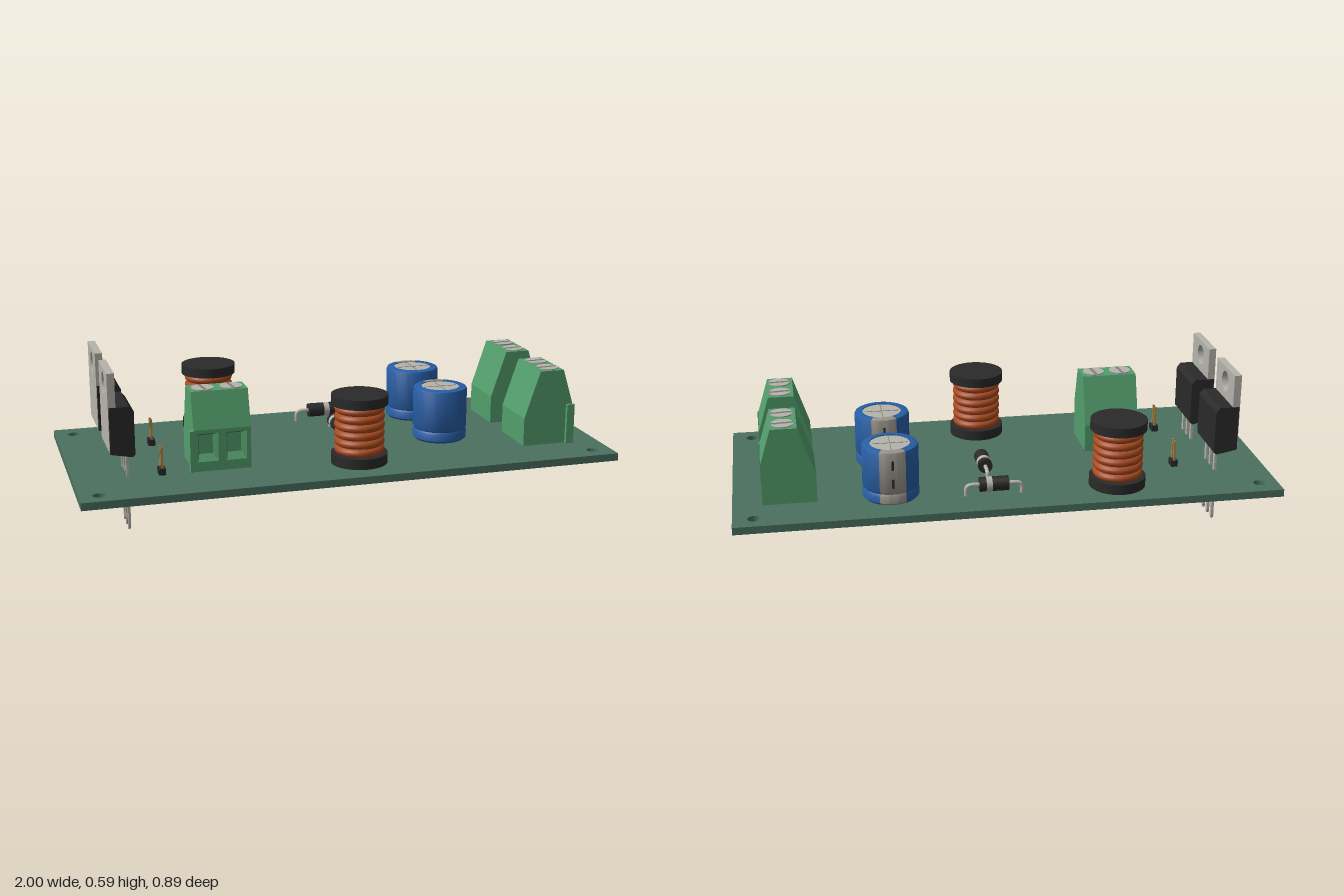
import * as THREE from 'three';
import { toCreasedNormals } from 'three/addons/utils/BufferGeometryUtils.js';

const mat = (color) => new THREE.MeshStandardMaterial({ color, side: THREE.DoubleSide });
const M = {
  board: mat(0x4a7060), green: mat(0x539e6c), pocket: mat(0x47875c), black: mat(0x2a2a2a), copper: mat(0xa84a20),
  metal: mat(0xb6b4ac), slot: mat(0x85847f), blue: mat(0x285fa6), stripe: mat(0x98948c), gold: mat(0xb08a4a),
};
const BOARD_TOP = 0.202;

function add(parent, name, geometry, material, x = 0, y = 0, z = 0) {
  const mesh = new THREE.Mesh(geometry, material);
  mesh.name = name;
  mesh.position.set(x, y, z);
  parent.add(mesh);
  return mesh;
}
function group(parent, name, x, z, turn = 0) {
  const g = new THREE.Group();
  g.name = name;
  g.position.set(x, 0, z);
  g.rotation.y = turn;
  parent.add(g);
  return g;
}
const box = (w, h, d) => new THREE.BoxGeometry(w, h, d);
const cyl = (r, h, n = 40) => new THREE.CylinderGeometry(r, r, h, n);
const polygon = (pts) => new THREE.Shape(pts.map(([x, y]) => new THREE.Vector2(x, y)));
const rect = (x0, y0, x1, y1) => polygon([[x0, y0], [x1, y0], [x1, y1], [x0, y1]]);
const extrude = (shape, depth) =>
  new THREE.ExtrudeGeometry(shape, { depth, bevelEnabled: false, curveSegments: 24 });
// Extrusion centred on z
const slab = (shape, depth) => extrude(shape, depth).translate(0, 0, -depth / 2);
// Extrusion turned so that the shape's x runs along -z and the depth along +x
const facingX = (shape, depth) => extrude(shape, depth).rotateY(Math.PI / 2);
function circleHole(x, y, r) {
  const p = new THREE.Path();
  p.absarc(x, y, r, 0, Math.PI * 2, true);
  return p;
}
function pin(parent, x, z, bottom, top, r = 0.01) {
  add(parent, 'pin', cyl(r, top - bottom, 16), M.metal, x, (top + bottom) / 2, z);
}

// Board with four mounting holes
function addBoard(root) {
  const s = rect(-1, -0.445, 1, 0.45);
  for (const [x, z] of [[-0.93, -0.375], [0.925, -0.385], [-0.93, 0.38], [0.925, 0.38]])
    s.holes.push(circleHole(x, -z, 0.022));
  add(root, 'board', extrude(s, 0.028).rotateX(-Math.PI / 2), M.board, 0, 0.174, 0);
}

// Two-way screw terminal, wire openings facing local +x
function addTerminal(root, x, z, turn) {
  const g = group(root, 'screwTerminal', x, z, turn);
  const width = 0.21, front = 0.086, wall = 0.045, ledge = 0.357;
  const profile = polygon([[-0.11, BOARD_TOP], [front - wall, BOARD_TOP], [front - wall, ledge],
    [front, ledge], [0.045, 0.49], [-0.05, 0.49], [-0.11, 0.31]]);
  add(g, 'terminalBody', slab(profile, width), M.green);
  const face = rect(-width / 2, BOARD_TOP, width / 2, ledge);
  for (const c of [-0.0525, 0.0525]) face.holes.push(rect(c - 0.037, 0.238, c + 0.037, 0.343));
  add(g, 'terminalFace', facingX(face, wall), M.green, front - wall, 0, 0);
  add(g, 'sideRib', box(0.03, 0.153, 0.014), M.green, 0.075, BOARD_TOP + 0.0765, width / 2 + 0.007);
  for (const c of [-0.0525, 0.0525]) {
    // Tapered opening: a four-sided funnel narrowing inwards
    const funnel = new THREE.CylinderGeometry(Math.SQRT1_2, Math.SQRT1_2 * 0.68, wall - 0.002, 4, 1, true)
      .toNonIndexed().rotateY(Math.PI / 4).rotateZ(-Math.PI / 2).scale(1, 0.105, 0.074);
    funnel.computeVertexNormals();
    add(g, 'wireOpening', funnel, M.pocket, front - wall / 2, 0.2905, c);
    // Screw: a disc with two raised segments leaving a slot
    add(g, 'screw', cyl(0.042, 0.008), M.slot, 0, 0.487, c);
    for (const side of [0, Math.PI]) {
      const seg = new THREE.Shape();
      seg.absarc(0, 0, 0.041, 0.18, Math.PI - 0.18, false);
      seg.closePath();
      add(g, 'screwHead', extrude(seg, 0.003).rotateX(-Math.PI / 2).rotateY(side + 0.1), M.metal, 0, 0.4905, c);
    }
    pin(g, 0, c, 0.135, 0.22);
  }
}

// Upright power transistor with a metal tab on its back (-x)
function addTransistor(root, z) {
  const g = group(root, 'powerTransistor', 0, z);
  const profile = polygon([[-0.868, 0.3], [-0.79, 0.285], [-0.78, 0.293], [-0.78, 0.452],
    [-0.795, 0.47], [-0.868, 0.47]]);
  add(g, 'transistorBody', slab(profile, 0.212), M.black);
  const tab = rect(-0.105, 0.305, 0.105, 0.593);
  tab.holes.push(circleHole(0, 0.536, 0.039));
  add(g, 'metalTab', facingX(tab, 0.027), M.metal, -0.87, 0, 0);
  for (const dz of [-0.0525, 0, 0.0525]) {
    const leg = polygon([[-0.009, 0.3], [-0.009, 0.015], [-0.003, 0], [0.003, 0], [0.009, 0.015], [0.009, 0.3]]);
    add(g, 'transistorLeg', facingX(leg, 0.009), M.metal, -0.808, 0, dz);
  }
}

// Inductor: two flanges and a wound core
function addInductor(root, x, z) {
  const g = group(root, 'inductor', x, z);
  add(g, 'lowerFlange', cyl(0.104, 0.038, 48), M.black, 0, 0.229, 0);
  add(g, 'upperFlange', cyl(0.104, 0.036, 48), M.black, 0, 0.449, 0);
  add(g, 'woundCore', cyl(0.078, 0.19), M.copper, 0, 0.34, 0);
  for (let i = 0; i < 6; i++) {
    const turn = new THREE.TorusGeometry(0.077, 0.0155, 12, 48).rotateX(Math.PI / 2);
    add(g, 'wireTurn', turn, M.copper, 0, 0.2635 + i * 0.0305, 0);
  }
  for (const s of [-1, 1]) pin(g, s * 0.048, 0, 0.142, 0.22);
}

// Can capacitor with a stripe on its -z side
function addCapacitor(root, x, z) {
  const g = group(root, 'capacitor', x, z);
  const pts = [[0, 0.205], [0.095, 0.205], [0.103, 0.213], [0.103, 0.238], [0.098, 0.247], [0.103, 0.256],
    [0.103, 0.4], [0.1, 0.407], [0.093, 0.41], [0.073, 0.41], [0.073, 0.404]]
    .map(([r, y]) => new THREE.Vector2(r, y));
  const half = 0.48;
  const sleeve = (start, length, n) => toCreasedNormals(new THREE.LatheGeometry(pts, n, start, length), 0.7);
  add(g, 'sleeve', sleeve(Math.PI + half, Math.PI * 2 - half * 2, 44), M.blue);
  add(g, 'stripe', sleeve(Math.PI - half, half * 2, 10), M.stripe);
  add(g, 'topDisc', cyl(0.074, 0.01), M.metal, 0, 0.402, 0);
  for (const turn of [0, Math.PI / 2])
    add(g, 'ventLine', box(0.13, 0.002, 0.003).rotateY(turn), M.slot, 0, 0.4072, 0);
  for (const y of [0.29, 0.36]) add(g, 'stripeMark', box(0.008, 0.035, 0.003), M.black, 0, y, -0.1025);
  for (const s of [-1, 1]) pin(g, 0, s * 0.052, 0.153, 0.22, 0.008);
}

// Axial diode lying along local x, band near its +x end
function addDiode(root, x, z, turn) {
  const g = group(root, 'diode', x, z, turn);
  const y = 0.243;
  add(g, 'diodeBody', cyl(0.027, 0.107, 32).rotateZ(Math.PI / 2), M.black, 0, y, 0);
  add(g, 'band', cyl(0.0275, 0.022, 32).rotateZ(Math.PI / 2), M.metal, 0.019, y, 0);
  for (const s of [-1, 1]) {
    const path = new THREE.CatmullRomCurve3([[0.05, y], [0.085, y], [0.098, y - 0.005], [0.103, y - 0.018],
      [0.103, 0.2], [0.103, 0.157]].map(([px, py]) => new THREE.Vector3(s * px, py, 0)));
    add(g, 'diodeLead', new THREE.TubeGeometry(path, 32, 0.0075, 10), M.metal);
    add(g, 'leadEnd', cyl(0.0075, 0.002, 10), M.metal, s * 0.103, 0.157, 0);
  }
}

// Tiny two-pin header
function addHeader(root, x, z) {
  const g = group(root, 'pinHeader', x, z);
  add(g, 'headerBase', box(0.025, 0.024, 0.042), M.black, 0, 0.214, 0);
  for (const s of [-1, 1]) add(g, 'headerPin', box(0.008, 0.157, 0.008), M.gold, 0, 0.2265, s * 0.0125);
}

export function createModel() {
  const root = new THREE.Group();
  root.name = 'circuitBoard';
  addBoard(root);
  addTerminal(root, 0.806, -0.173, 0);
  addTerminal(root, 0.806, 0.155, 0);
  addTerminal(root, -0.462, 0.137, -Math.PI / 2);
  addTransistor(root, -0.173);
  addTransistor(root, 0.138);
  addInductor(root, -0.402, -0.313);
  addInductor(root, 0.032, 0.289);
  addCapacitor(root, 0.429, -0.263);
  addCapacitor(root, 0.429, 0.06);
  addDiode(root, 0.058, -0.313, 0);
  addDiode(root, 0.064, -0.099, Math.PI / 2);
  addHeader(root, -0.661, -0.157);
  addHeader(root, -0.683, 0.206);
  return root;
}
